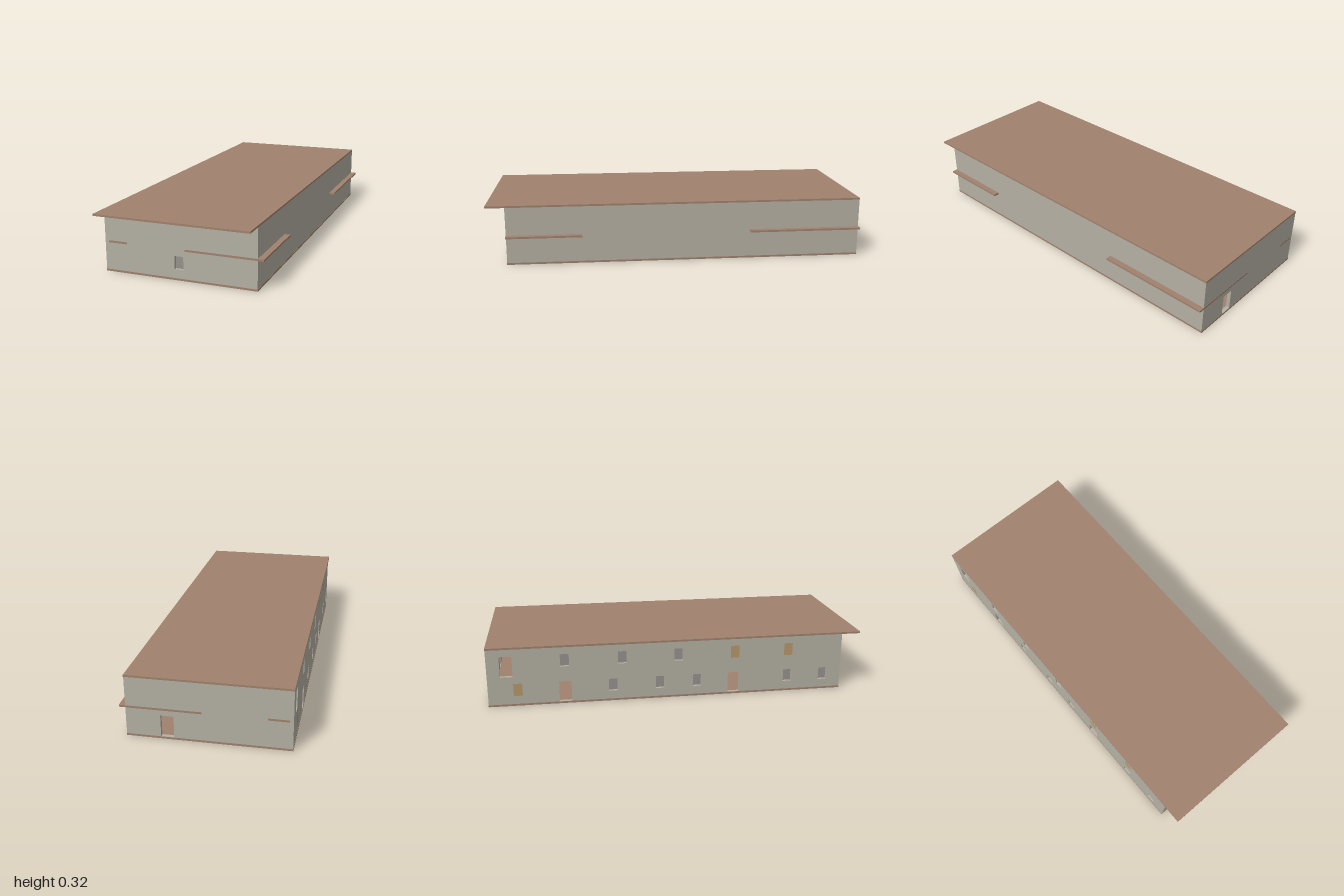
import * as THREE from 'three';

const X0 = -0.415, X1 = 0.385, Z0 = -1, Z1 = 0.9; // footprint
const T = 0.02, SLAB = 0.01, H = 0.32, MID = 0.15, GAP = 0.001;

const mat = (color) => new THREE.MeshStandardMaterial({ color });

export function createModel() {
  const group = new THREE.Group();
  const wallMat = mat(0xb4b0a3), woodMat = mat(0xa0826d);
  const paneMat = mat(0x96928e), shutterMat = mat(0xb8986a);

  // Box given by its minimum and maximum corners
  function box(name, x0, x1, y0, y1, z0, z1, material) {
    const mesh = new THREE.Mesh(new THREE.BoxGeometry(x1 - x0, y1 - y0, z1 - z0), material);
    mesh.position.set((x0 + x1) / 2, (y0 + y1) / 2, (z0 + z1) / 2);
    mesh.name = name;
    group.add(mesh);
  }

  // Upright wall from u0 to u1 with rectangular openings, extruded by T
  function wall(name, u0, u1, openings) {
    const rect = (p, a, b, c, d) => {
      p.moveTo(a, c); p.lineTo(b, c); p.lineTo(b, d); p.lineTo(a, d); p.closePath();
      return p;
    };
    const shape = rect(new THREE.Shape(), u0, u1, SLAB, H - SLAB);
    for (const o of openings) {
      shape.holes.push(rect(new THREE.Path(), o.u - o.w / 2, o.u + o.w / 2, o.y0, o.y1));
    }
    const mesh = new THREE.Mesh(
      new THREE.ExtrudeGeometry(shape, { depth: T, bevelEnabled: false }), wallMat);
    mesh.name = name;
    group.add(mesh);
    return mesh;
  }

  const windowAt = (u, upper) => ({ u, w: 0.046, y0: upper ? 0.205 : 0.055, y1: upper ? 0.272 : 0.122 });
  const doorAt = (u, upper) => ({ u, w: 0.064, y0: upper ? 0.16 : 0.0101, y1: upper ? 0.272 : 0.122 });

  // Ground slab and roof, the roof overhanging the front
  box('groundSlab', X0, X1, 0, SLAB, Z0, Z1, woodMat);
  box('roof', X0, X1, H - SLAB, H, Z0, 1, woodMat);

  // Upper floor: a strip on each side of the stair void
  box('upperFloorLeft', -0.395, -0.295, MID, MID + SLAB, Z0, Z1, woodMat);
  box('upperFloorMiddle', 0.015, X1 - T, MID, MID + SLAB, -0.4, 0.5, woodMat);
  // Ends of the upper floor run through the side wall as balconies
  for (const [a, b] of [[Z0, -0.4], [0.5, Z1]]) {
    box('balconyFloor', 0.015, 0.415, MID, MID + SLAB, a, b, woodMat);
  }

  // Front and back walls
  const frontWindow = windowAt(-0.016, false);
  wall('frontWall', X0 + GAP, X1 - GAP, [frontWindow]).position.z = Z1 - T - GAP;
  wall('backWall', X0 + GAP, X1 - GAP, [doorAt(0.183, false)]).position.z = Z0 + GAP;
  box('frontWindowPane', frontWindow.u - 0.023, frontWindow.u + 0.023,
    frontWindow.y0, frontWindow.y1, Z1 - T - GAP, Z1 - T + 0.003, paneMat);

  // Plain side wall on the balcony side
  box('balconyWall', X1 - T, X1 - GAP, SLAB, H - SLAB, Z0 + T, Z1 - T, wallMat);

  // Windowed side wall: shape u runs along -z
  const lower = [-0.35, -0.1, 0.1, 0.6, 0.8].map((z) => windowAt(z, false));
  const upper = [-0.6, -0.3, 0].map((z) => windowAt(z, true));
  const shuttered = [windowAt(-0.845, false), windowAt(0.305, true), windowAt(0.6, true)];
  const doors = [doorAt(-0.6, false), doorAt(0.3, false), doorAt(-0.9, true)];
  const all = [...lower, ...upper, ...shuttered, ...doors].map((o) => ({ ...o, u: -o.u }));
  const side = wall('windowWall', -(Z1 - T - GAP), -(Z0 + T + GAP), all);
  side.rotation.y = Math.PI / 2;
  side.position.x = X0 + GAP;

  // Recessed panes and flush shutters
  for (const o of [...lower, ...upper]) {
    box('windowPane', X0 + T - 0.003, X0 + T, o.y0, o.y1, o.u - o.w / 2, o.u + o.w / 2, paneMat);
  }
  for (const o of shuttered) {
    box('shutter', X0 + GAP, X0 + T, o.y0, o.y1, o.u - o.w / 2, o.u + o.w / 2, shutterMat);
  }
  return group;
}
